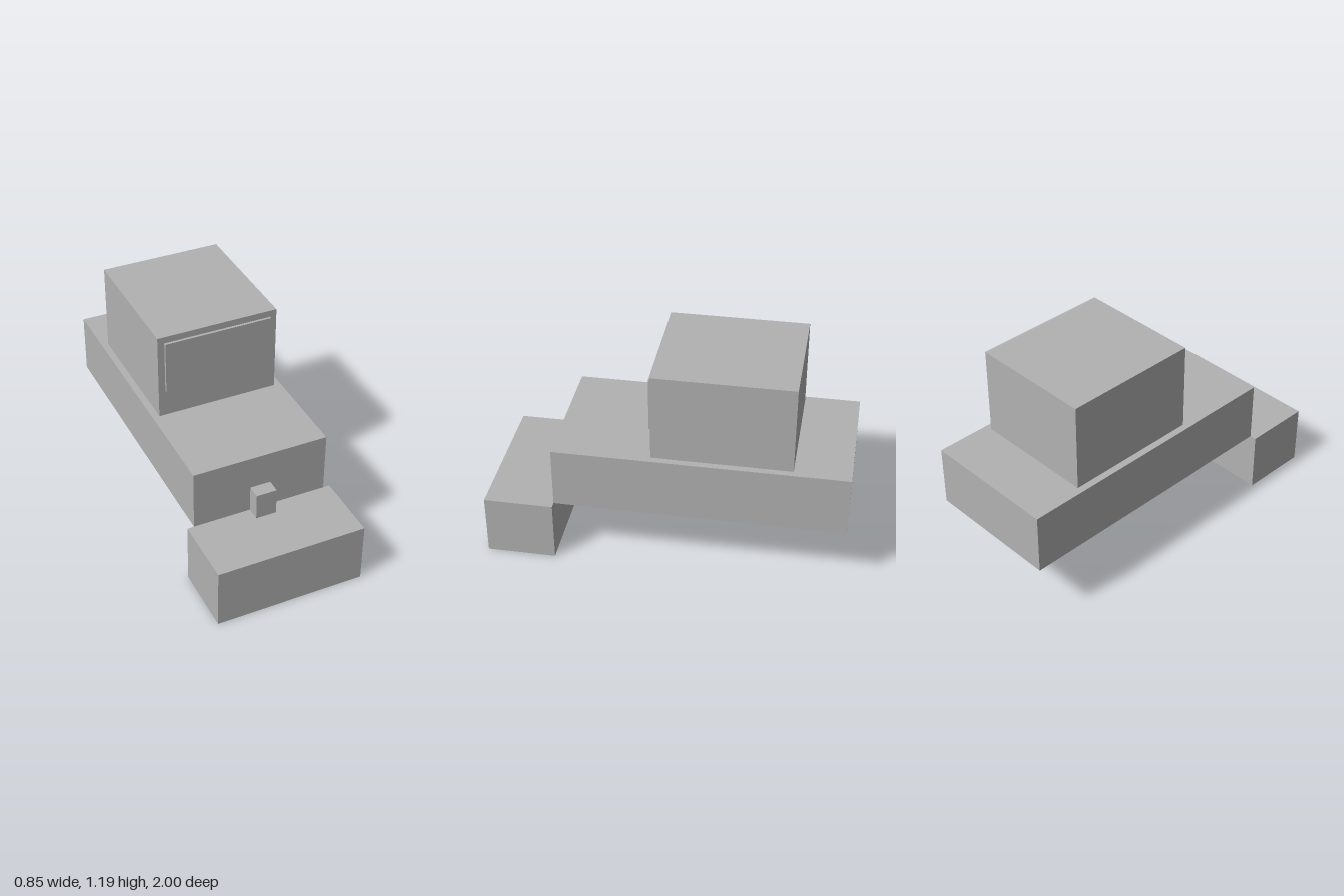
import * as THREE from 'three';

export function createModel() {
  const model = new THREE.Group();
  const grey = new THREE.MeshStandardMaterial({ color: 0xb2b2b2 });
  grey.name = 'grey';

  // Box centred on x, given its width and its y and z ranges
  function addBox(name, width, [y0, y1], [z0, z1]) {
    const mesh = new THREE.Mesh(new THREE.BoxGeometry(width, y1 - y0, z1 - z0), grey);
    mesh.name = name;
    mesh.position.set(0, (y0 + y1) / 2, (z0 + z1) / 2);
    model.add(mesh);
  }

  // Front block on the ground, with a small post standing at its rear edge
  addBox('frontBlock', 0.845, [0, 0.347], [0.615, 1]);
  addBox('post', 0.117, [0.347, 0.5], [0.615, 0.692]);

  // Long body carried by a narrow beam underneath
  addBox('beam', 0.117, [0.23, 0.347], [-0.385, 0.615]);
  addBox('body', 0.77, [0.347, 0.693], [-1, 0.615]);

  // Cabin on top with its front window panel
  addBox('cabin', 0.692, [0.693, 1.193], [-0.692, 0.077]);
  addBox('windowPanel', 0.615, [0.85, 1.155], [0.077, 0.092]);

  return model;
}
